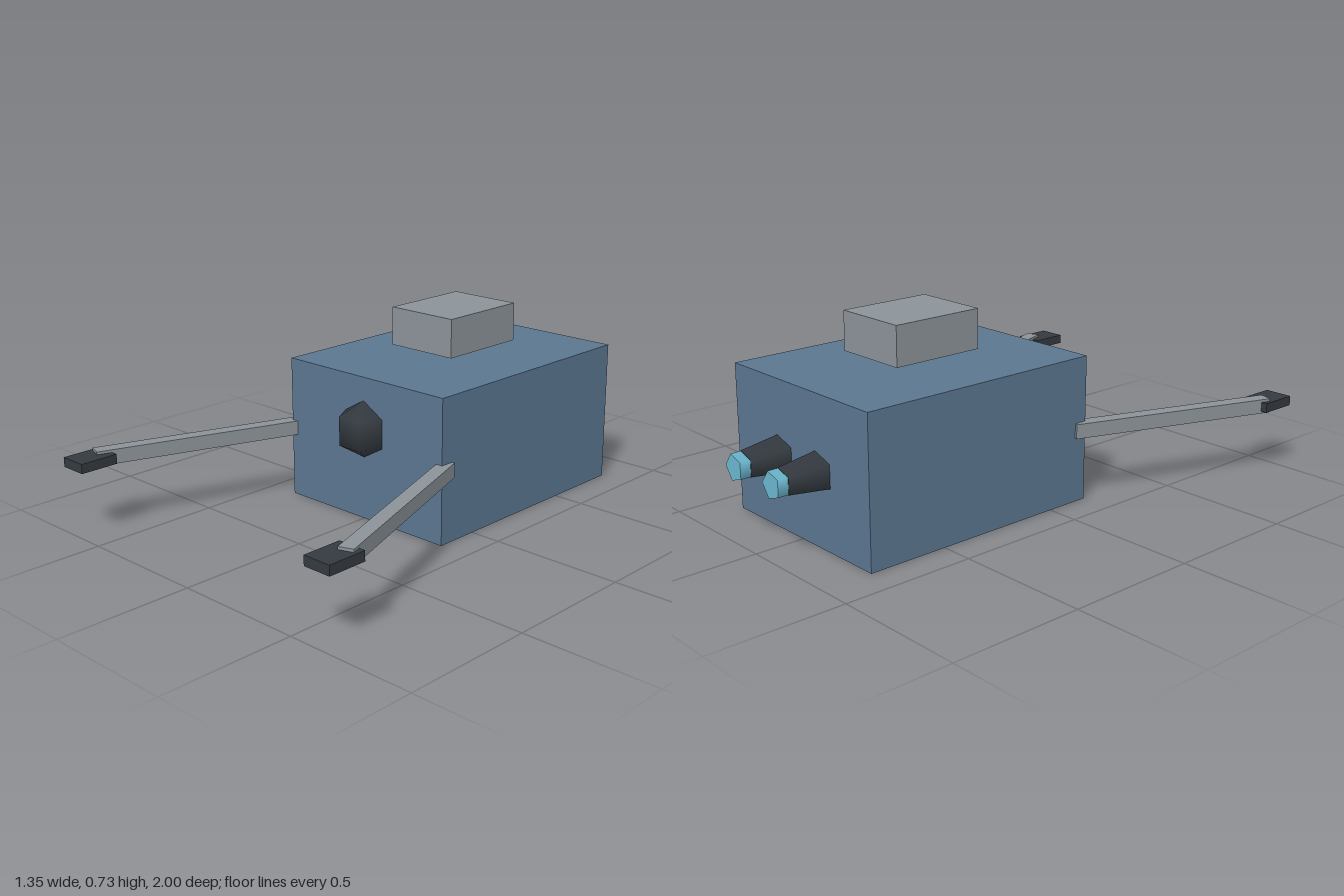
import * as THREE from 'three';

const material = (name, color) => {
  const m = new THREE.MeshStandardMaterial({ color });
  m.name = name;
  return m;
};

export function createModel() {
  const group = new THREE.Group();
  const blue = material('hull blue', 0x5b7690);
  const grey = material('metal grey', 0x8b9298);
  const dark = material('dark grey', 0x343a40);
  const cyan = material('glow cyan', 0x6cb8d0);

  const add = (name, geometry, mat, x, y, z) => {
    const mesh = new THREE.Mesh(geometry, mat);
    mesh.name = name;
    mesh.position.set(x, y, z);
    group.add(mesh);
    return mesh;
  };
  const box = (w, h, d) => new THREE.BoxGeometry(w, h, d);

  // Hull, floating roof module and front sensor
  add('hull', box(0.76, 0.545, 0.98), blue, 0, 0.2725, -0.32);
  add('roofModule', box(0.294, 0.147, 0.366), grey, 0, 0.653, -0.323);
  add('frontSensor', new THREE.SphereGeometry(0.11, 6, 3), dark, 0, 0.348, 0.165);

  // Five-sided tapered tube along -z, with one corner towards +x
  const nozzle = (rFront, rBack, length) =>
    new THREE.CylinderGeometry(rBack, rFront, length, 5).rotateY(Math.PI / 2).rotateX(-Math.PI / 2);

  for (const side of [1, -1]) {
    const label = side > 0 ? 'left' : 'right';

    // Splayed arm and gripper
    const arm = add(label + 'Arm', box(0.0545, 0.0545, 0.8175), grey, side * 0.502, 0.273, 0.51);
    arm.rotation.y = side * 0.34;
    add(label + 'Gripper', box(0.109, 0.036, 0.148), dark, side * 0.622, 0.272, 0.926);

    // Thruster and its glowing end
    add(label + 'Thruster', nozzle(0.073, 0.052, 0.15), dark, side * 0.11, 0.273, -0.885);
    add(label + 'ThrusterGlow', nozzle(0.05, 0.05, 0.054), cyan, side * 0.11, 0.273, -0.973);
  }
  return group;
}
